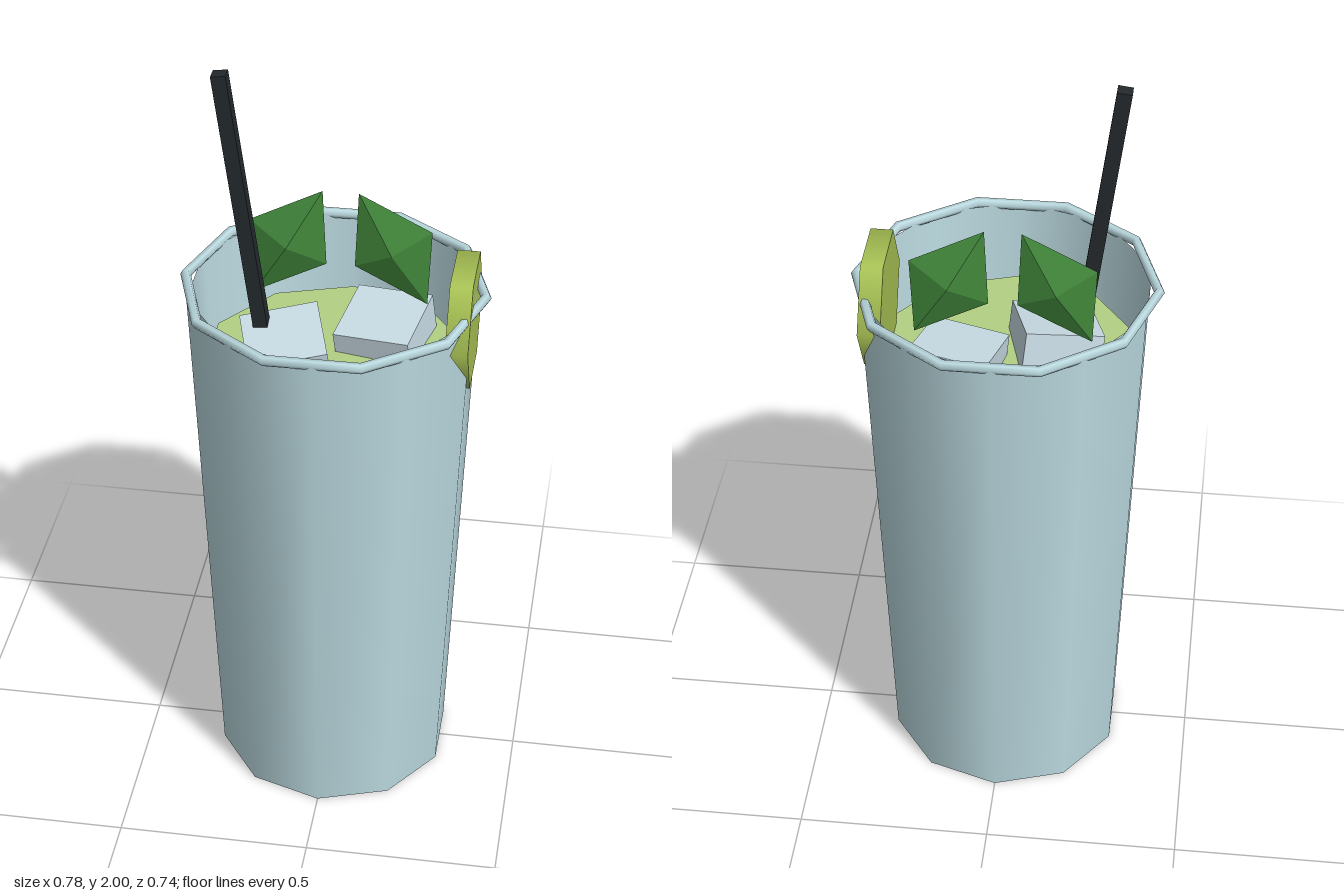
import * as THREE from 'three';

const SIDES = 10;

export function createModel() {
  const model = new THREE.Group();

  const mat = (color, extra = {}) => new THREE.MeshStandardMaterial({ color, ...extra });
  const add = (name, geometry, material, x = 0, y = 0, z = 0) => {
    const mesh = new THREE.Mesh(geometry, material);
    mesh.name = name;
    mesh.position.set(x, y, z);
    model.add(mesh);
    return mesh;
  };

  const glassMat = mat(0xbcdbe1, { side: THREE.DoubleSide });
  const iceMat = mat(0xc9dce5);
  const leafMat = mat(0x438a3c, { flatShading: true });

  // Tapered glass: open wall, flat base and a thin rim ring
  const height = 1.435;
  add('glassWall', new THREE.CylinderGeometry(0.37, 0.31, height, SIDES, 1, true), glassMat, 0, height / 2, 0);
  const base = add('glassBase', new THREE.CircleGeometry(0.31, SIDES), glassMat);
  base.rotation.set(Math.PI / 2, 0, Math.PI / 2);
  const rim = add('glassRim', new THREE.TorusGeometry(0.3765, 0.0135, 6, SIDES), mat(0xbcdbe1), 0, height, 0);
  rim.rotation.x = Math.PI / 2;

  // Drink filling the glass
  add('drink', new THREE.CylinderGeometry(0.335, 0.285, 1.18, SIDES), mat(0xb2d084), 0, 0.64, 0);

  // Two ice cubes, tipped and half sunk
  for (const [x, z, yaw] of [[-0.115, 0.025, 0.28], [0.12, -0.1, -0.2]]) {
    const cube = add('iceCube', new THREE.BoxGeometry(0.2, 0.2, 0.2), iceMat, x, 1.21, z);
    cube.rotation.set(0.17, yaw, 0.1);
  }

  // Square straw leaning to the side
  const tilt = 0.13;
  const length = 1.4;
  const straw = add('straw', new THREE.BoxGeometry(0.037, length, 0.037), mat(0x23292d),
    -0.277 + Math.sin(tilt) * length / 2, 1.998 - Math.cos(tilt) * length / 2, 0);
  straw.rotation.z = tilt;

  // Mint leaves: flattened octahedra, mirrored
  for (const side of [-1, 1]) {
    const leaf = add('mintLeaf', new THREE.OctahedronGeometry(1), leafMat, side * 0.133, 1.494, -0.097);
    leaf.scale.set(0.112, 0.175, 0.037);
    leaf.rotation.z = side * 0.525;
  }

  // Six-sided lime slice on the rim
  const lime = add('limeSlice', new THREE.CylinderGeometry(0.17, 0.17, 0.057, 6), mat(0xa9c355), 0.323, 1.368, 0);
  lime.rotation.z = Math.PI / 2;

  return model;
}
